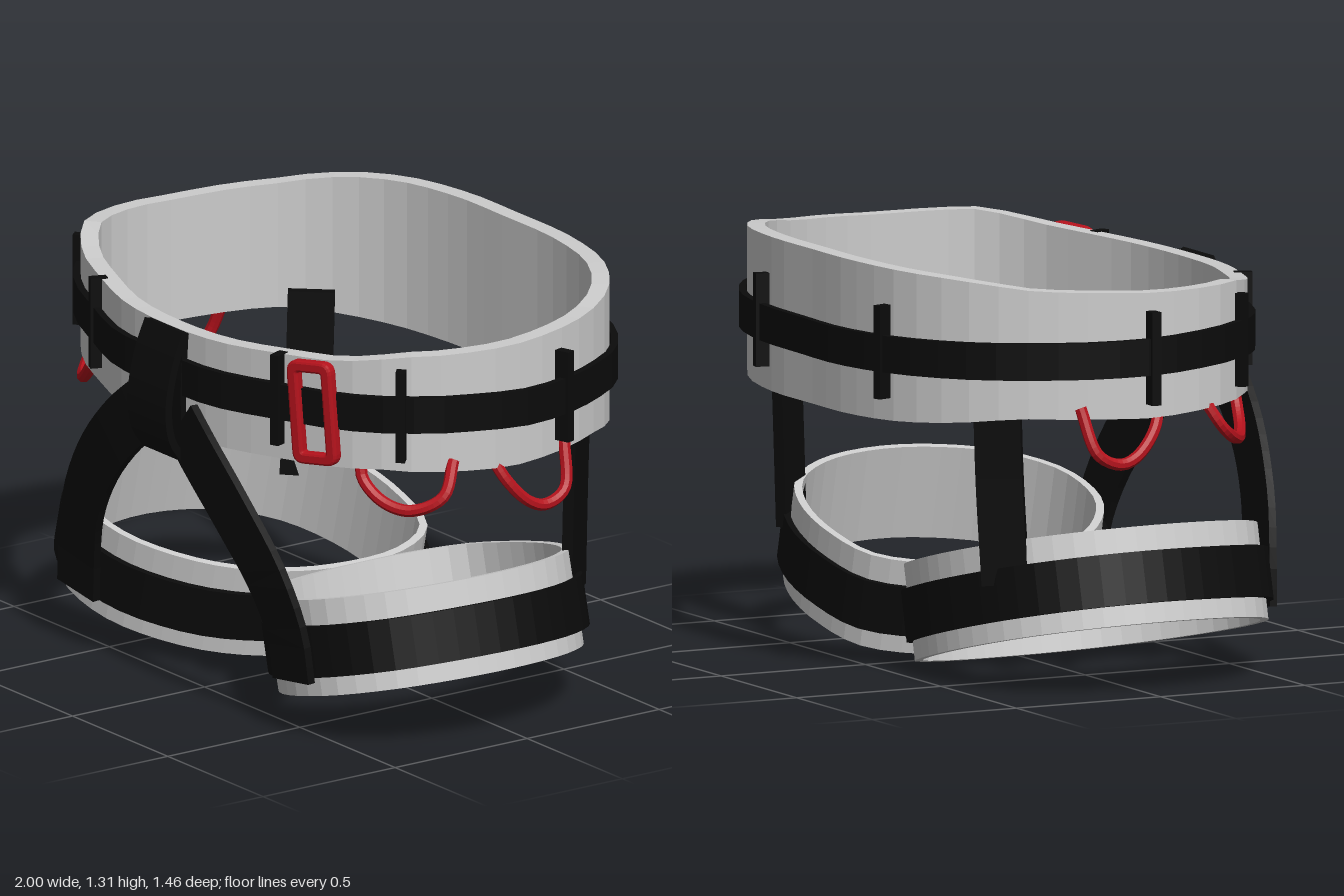
import * as THREE from 'three';

const V = (x, y, z) => new THREE.Vector3(x, y, z);
const mat = (color) => new THREE.MeshStandardMaterial({ color, flatShading: true });
const GREY = mat(0xcccccc), BLACK = mat(0x0b0b0b), RED = mat(0xb5121c);

// Skin a list of four-cornered sections, closed into a ring or capped at the ends
function loft(sections, closed) {
  const pos = [], idx = [], n = sections.length;
  sections.forEach((s) => s.forEach((p) => pos.push(p.x, p.y, p.z)));
  const quad = (a, b, c, d) => idx.push(a, b, c, a, c, d);
  for (let i = 0; i < (closed ? n : n - 1); i++) {
    const a = i * 4, b = ((i + 1) % n) * 4;
    for (let k = 0; k < 4; k++) quad(a + k, b + k, b + (k + 1) % 4, a + (k + 1) % 4);
  }
  if (!closed) {
    quad(0, 1, 2, 3);
    quad(n * 4 - 1, n * 4 - 2, n * 4 - 3, n * 4 - 4);
  }
  // Turn the faces outward whichever way the path runs
  const p = (i) => V(pos[3 * i], pos[3 * i + 1], pos[3 * i + 2]);
  let volume = 0;
  for (let i = 0; i < idx.length; i += 3) volume += p(idx[i]).dot(p(idx[i + 1]).cross(p(idx[i + 2])));
  if (volume < 0) idx.reverse();
  const g = new THREE.BufferGeometry();
  g.setAttribute('position', new THREE.Float32BufferAttribute(pos, 3));
  g.setIndex(idx);
  g.computeVertexNormals();
  return g;
}

// Evenly spaced points and outward normals on a closed [x, z] outline
function trace(outline, n) {
  const curve = new THREE.CatmullRomCurve3(outline.map(([x, z]) => V(x, 0, z)), true);
  const pts = curve.getSpacedPoints(n).slice(0, n);
  return pts.map((p, i) => {
    const t = pts[(i + 1) % n].clone().sub(pts[(i + n - 1) % n]).normalize();
    const normal = V(t.z, 0, -t.x);
    if (normal.dot(p) < 0) normal.negate();
    return { p, normal };
  });
}

// Upright ring wall; lo and hi give its height range at each z
function ring(outline, thick, lo, hi, n = 56) {
  return loft(trace(outline, n).map(({ p, normal }) => {
    const q = p.clone().addScaledVector(normal, -thick);
    return [V(p.x, lo(p.z), p.z), V(p.x, hi(p.z), p.z), V(q.x, hi(p.z), q.z), V(q.x, lo(p.z), q.z)];
  }), true);
}

// Flat webbing along a path, facing the given normal
function ribbon(points, facing, width, thick, n = 16) {
  const curve = new THREE.CatmullRomCurve3(points);
  return loft(Array.from({ length: n + 1 }, (_, i) => {
    const p = curve.getPointAt(i / n), t = curve.getTangentAt(i / n);
    const side = t.clone().cross(facing).normalize().multiplyScalar(width / 2);
    const out = side.clone().cross(t).normalize().multiplyScalar(thick / 2);
    return [[1, 1], [-1, 1], [-1, -1], [1, -1]].map(([a, b]) =>
      p.clone().addScaledVector(side, a).addScaledVector(out, b));
  }), false);
}

// Linear interpolation through [z, y] stops
const ramp = (stops) => (z) => {
  for (let i = 1; i < stops.length; i++) {
    const [z0, y0] = stops[i - 1], [z1, y1] = stops[i];
    if (z <= z1 || i === stops.length - 1) {
      return y0 + (y1 - y0) * THREE.MathUtils.clamp((z - z0) / (z1 - z0), 0, 1);
    }
  }
};

const BELT = [[0, 0.64], [0.25, 0.62], [0.48, 0.55], [0.7, 0.46], [0.85, 0.32], [0.91, 0.12], [0.91, -0.1],
  [0.85, -0.31], [0.73, -0.5], [0.53, -0.63], [0.27, -0.685], [0, -0.69], [-0.27, -0.685], [-0.53, -0.63],
  [-0.73, -0.5], [-0.86, -0.31], [-0.92, -0.1], [-0.94, 0.12], [-0.87, 0.32], [-0.7, 0.46], [-0.48, 0.55], [-0.25, 0.62]];
const WEBBING = [[0, 0.665], [0.25, 0.655], [0.5, 0.57], [0.72, 0.475], [0.88, 0.33], [0.94, 0.13], [0.96, -0.05],
  [0.93, -0.2], [0.87, -0.34], [0.75, -0.52], [0.55, -0.65], [0.3, -0.715], [0, -0.73], [-0.27, -0.73], [-0.54, -0.66],
  [-0.75, -0.52], [-0.88, -0.34], [-0.95, -0.18], [-0.97, 0], [-0.96, 0.14], [-0.89, 0.33], [-0.72, 0.475], [-0.5, 0.57], [-0.25, 0.655]];
const LEG = [[-0.47, 0], [-0.46, -0.25], [-0.36, -0.42], [-0.15, -0.47], [0.08, -0.45], [0.28, -0.36], [0.41, -0.2],
  [0.465, 0], [0.45, 0.2], [0.36, 0.4], [0.2, 0.52], [0.02, 0.54], [-0.13, 0.5], [-0.31, 0.37], [-0.42, 0.2]];
const LEG_WEB = [[-0.485, 0], [-0.475, -0.25], [-0.37, -0.435], [-0.15, -0.487], [0.09, -0.47], [0.3, -0.38], [0.45, -0.21],
  [0.5, -0.03], [0.475, 0.2], [0.38, 0.42], [0.21, 0.54], [0.02, 0.56], [-0.14, 0.52], [-0.325, 0.385], [-0.435, 0.2]];

export function createModel() {
  const model = new THREE.Group();
  model.name = 'climbingHarness';
  const add = (name, geometry, material, parent = model) => {
    const mesh = new THREE.Mesh(geometry, material);
    mesh.name = name;
    parent.add(mesh);
    return mesh;
  };

  // Padded waist belt, taller at the back
  add('waistBelt', ring(BELT, 0.055,
    ramp([[-0.69, 0.83], [-0.4, 0.87], [0, 0.86], [0.4, 0.89], [0.64, 0.865]]),
    ramp([[-0.69, 1.31], [-0.55, 1.295], [-0.35, 1.265], [0, 1.25], [0.35, 1.255], [0.5, 1.22], [0.64, 1.2]])), GREY);
  const mid = ramp([[-0.73, 1.045], [0, 1.055], [0.35, 1.075], [0.67, 1.06]]);
  add('waistWebbing', ring(WEBBING, 0.022, (z) => mid(z) - 0.057, (z) => mid(z) + 0.057), BLACK);

  // Narrow keepers over the waist webbing
  const path = trace(WEBBING, 240);
  [[0.49, 0.57], [-0.49, 0.57], [0.84, 0.37], [-0.86, 0.36], [0.93, -0.21], [-0.97, 0], [0.31, -0.71], [-0.46, -0.68]]
    .forEach(([x, z]) => {
      const at = V(x, 0, z);
      const near = path.reduce((a, b) => (b.p.distanceTo(at) < a.p.distanceTo(at) ? b : a));
      const keeper = add('webbingKeeper', new THREE.BoxGeometry(0.03, 0.29, 0.055), BLACK);
      keeper.position.copy(near.p).addScaledVector(near.normal, -0.018).setY(z > 0.1 ? 1.07 : 1.05);
      keeper.rotation.y = Math.atan2(near.normal.x, near.normal.z);
    });

  // Buckle frame
  const roundRect = (path2, w, h, r) => path2
    .moveTo(-w + r, -h).lineTo(w - r, -h).quadraticCurveTo(w, -h, w, -h + r)
    .lineTo(w, h - r).quadraticCurveTo(w, h, w - r, h)
    .lineTo(-w + r, h).quadraticCurveTo(-w, h, -w, h - r)
    .lineTo(-w, -h + r).quadraticCurveTo(-w, -h, -w + r, -h);
  const frame = roundRect(new THREE.Shape(), 0.072, 0.157, 0.03);
  frame.holes.push(roundRect(new THREE.Path(), 0.051, 0.136, 0.015));
  const buckle = add('buckle', new THREE.ExtrudeGeometry(frame, {
    depth: 0.02, bevelThickness: 0.01, bevelSize: 0.008, bevelSegments: 2, curveSegments: 5 }).translate(0, 0, -0.01), RED);
  buckle.position.set(0.615, 1.055, 0.53);
  buckle.rotation.set(0, 0.38, 0.08, 'YXZ');

  // Centre tie-in loop bulging forward
  add('tieInLoop', ribbon([V(0.01, 1.2, 0.65), V(0.01, 1.1, 0.69), V(0.01, 0.96, 0.715), V(0.01, 0.86, 0.7),
    V(0.01, 0.8, 0.66)], V(0, 0, 1), 0.2, 0.025), BLACK);
  add('tieInLoopBack', ribbon([V(0.01, 1.2, 0.65), V(0.01, 1, 0.66), V(0.01, 0.8, 0.65)], V(0, 0, 1), 0.2, 0.02), BLACK);

  for (const s of [1, -1]) {
    const side = s > 0 ? 'left' : 'right';
    const mirror = (o) => o.map(([x, z]) => [s * x, z]);

    // Tilted leg loop with its webbing
    const leg = new THREE.Group();
    leg.name = side + 'LegLoop';
    leg.position.set(s * 0.49, 0.265, 0);
    leg.rotation.z = s * 0.245;
    model.add(leg);
    add('legPadding', ring(mirror(LEG), 0.025, () => -0.15, () => 0.15, 48), GREY, leg);
    add('legWebbing', ring(mirror(LEG_WEB), 0.02, () => -0.09, () => 0.07, 48), BLACK, leg);

    // Front strap sweeping from the tie-in point to the thigh
    add(side + 'FrontStrap', ribbon([V(s * 0.1, 0.91, 0.655), V(s * 0.2, 0.83, 0.66), V(s * 0.35, 0.68, 0.645),
      V(s * 0.48, 0.5, 0.61), V(s * 0.545, 0.33, 0.58), V(s * 0.565, 0.185, 0.57)], V(0, 0, 1), 0.19, 0.025), BLACK);

    // Rear strap holding the leg loop up
    add(side + 'RearStrap', ribbon([V(s * 0.7, 0.93, -0.41), V(s * 0.7, 0.65, -0.4), V(s * 0.71, 0.34, -0.385)],
      V(s * 0.8, 0, -0.6), 0.145, 0.035), BLACK);

    // Gear loops hanging under the belt
    [[[0.7, 0.91, 0.41], [0.71, 0.85, 0.415], [0.78, 0.785, 0.39], [0.86, 0.765, 0.34], [0.92, 0.81, 0.26], [0.89, 0.91, 0.2]],
      [[0.88, 0.91, 0.06], [0.92, 0.82, 0.02], [0.94, 0.745, -0.05], [0.945, 0.725, -0.11], [0.94, 0.76, -0.185], [0.89, 0.9, -0.22]]]
      .forEach((pts, i) => {
        const curve = new THREE.CatmullRomCurve3(pts.map(([x, y, z]) => V(s * x, y, z)));
        add(side + (i ? 'Rear' : 'Front') + 'GearLoop', new THREE.TubeGeometry(curve, 28, 0.019, 8), RED);
      });
  }
  return model;
}
